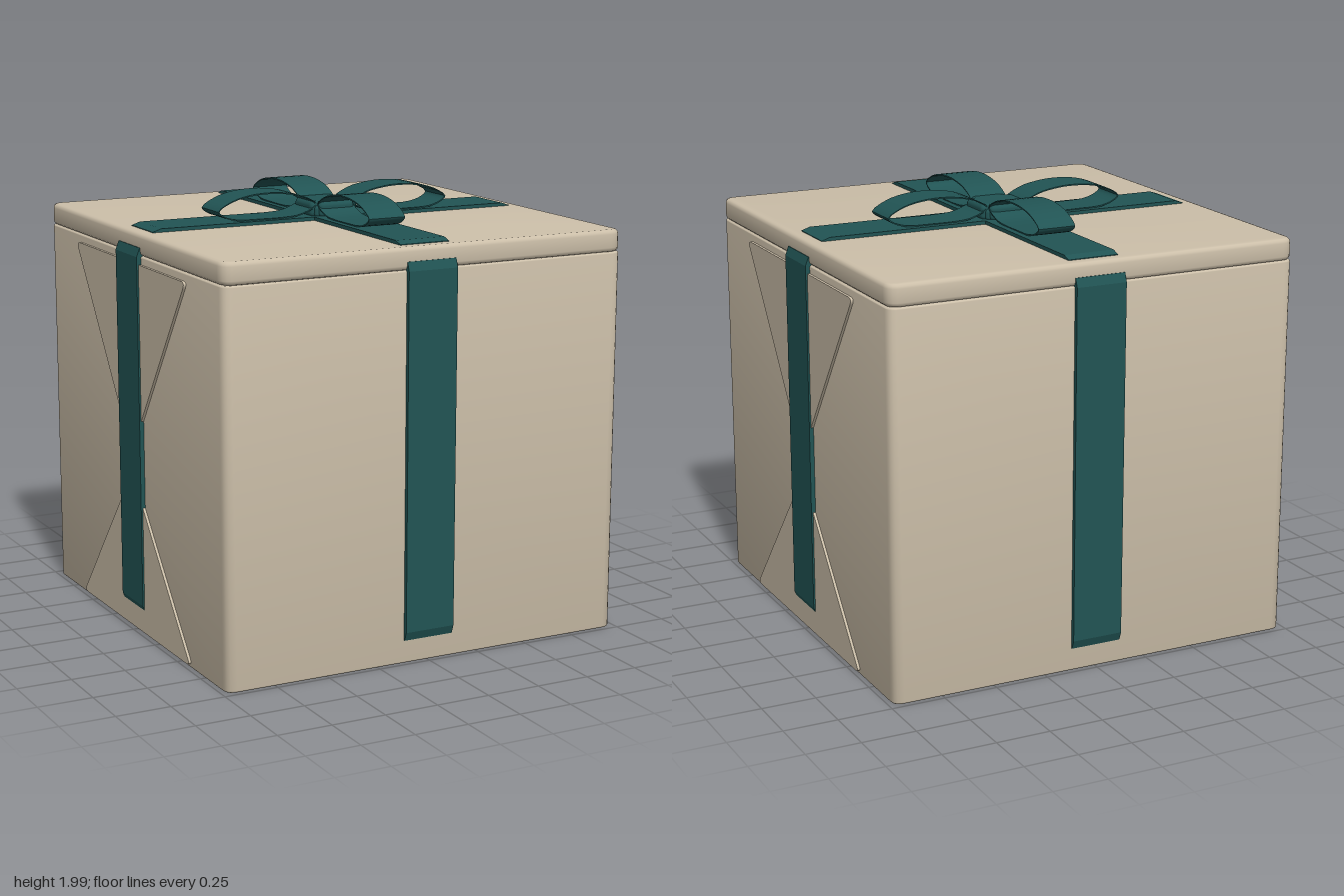
import * as THREE from 'three';
import { toCreasedNormals } from 'three/addons/utils/BufferGeometryUtils.js';
import { RoundedBoxGeometry } from 'three/addons/geometries/RoundedBoxGeometry.js';

const WALL = 0.98, LID_TOP = 1.857, SEAM = 1.757;

// Outline with rounded corners through a list of [x, y] points
function roundedShape(points, r) {
  const p = points.map(([x, y]) => new THREE.Vector2(x, y));
  const shape = new THREE.Shape();
  p.forEach((c, i) => {
    const prev = p[(i + p.length - 1) % p.length], next = p[(i + 1) % p.length];
    const a = prev.clone().sub(c).setLength(r).add(c);
    const b = next.clone().sub(c).setLength(r).add(c);
    if (i === 0) shape.moveTo(a.x, a.y); else shape.lineTo(a.x, a.y);
    shape.quadraticCurveTo(c.x, c.y, b.x, b.y);
  });
  shape.closePath();
  return shape;
}

// Square slab with rounded upright edges and bevelled rims
function slab(half, y0, y1, bevel) {
  const h = half - bevel;
  const geo = new THREE.ExtrudeGeometry(roundedShape([[-h, -h], [h, -h], [h, h], [-h, h]], 0.04), {
    depth: y1 - y0 - 2 * bevel, bevelEnabled: true, bevelSize: bevel,
    bevelThickness: bevel, bevelSegments: 3, curveSegments: 5,
  });
  geo.rotateX(-Math.PI / 2).translate(0, y0 + bevel, 0);
  return toCreasedNormals(geo, 0.7);
}

// Flat ribbon along x, lying on y = 0, with sloping ends
function ribbonStrip(length, thick, width) {
  const h = length / 2;
  const s = new THREE.Shape([[-h, -0.01], [h, -0.01], [h, 0.003], [h - 0.04, thick], [-h + 0.04, thick], [-h, 0.003]]
    .map(([x, y]) => new THREE.Vector2(x, y)));
  return new THREE.ExtrudeGeometry(s, { depth: width, bevelEnabled: false }).translate(0, 0, -width / 2);
}

// Hollow bow loop reaching out along +x
function bowLoop(width) {
  const pts = [[0.09, 1.925], [0.16, 1.968], [0.25, 1.988], [0.33, 1.994], [0.43, 1.988], [0.52, 1.965],
    [0.588, 1.922], [0.565, 1.898], [0.5, 1.876], [0.38, 1.872], [0.26, 1.872], [0.17, 1.882]];
  const outline = new THREE.CatmullRomCurve3(pts.map(([x, y]) => new THREE.Vector3(x, y, 0)), true).getPoints(36).slice(0, -1);
  const shape = new THREE.Shape(outline.map(v => new THREE.Vector2(v.x, v.y)));
  shape.holes.push(new THREE.Path(outline.map(v =>
    new THREE.Vector2(0.34 + (v.x - 0.34) * 0.975, 1.932 + (v.y - 1.932) * 0.9)).reverse()));
  const geo = new THREE.ExtrudeGeometry(shape, { depth: width, bevelEnabled: false });
  return toCreasedNormals(geo.translate(0, 0, -width / 2), 0.7);
}

export function createModel() {
  const root = new THREE.Group();
  root.name = 'giftBox';
  const card = new THREE.MeshStandardMaterial({ color: 0xccbfa9 });
  card.name = 'beige card';
  const teal = new THREE.MeshStandardMaterial({ color: 0x215454 });
  teal.name = 'dark teal ribbon';
  const add = (name, geo, mat, parent = root) => {
    const mesh = new THREE.Mesh(geo, mat);
    mesh.name = name;
    parent.add(mesh);
    return mesh;
  };

  // Box and lid
  add('boxBody', slab(WALL, 0, SEAM, 0.008), card);
  add('lid', slab(WALL + 0.002, SEAM, LID_TOP, 0.02), card);

  // Folded wrapping flaps on the left and right sides
  const flaps = {
    upperFlap: [[-0.62, 1.72], [0, 0.84], [0.62, 1.72]],
    lowerFlap: [[-0.62, 0.015], [0.62, 0.015], [0, 0.75]],
  };
  for (const [name, points] of Object.entries(flaps)) {
    const geo = new THREE.ExtrudeGeometry(roundedShape(points, 0.04), { depth: 0.022, bevelEnabled: false });
    geo.rotateY(Math.PI / 2).translate(WALL - 0.01, 0, 0);
    for (const side of [1, -1]) {
      add((side > 0 ? 'left' : 'right') + name, geo, card).rotation.y = side > 0 ? 0 : Math.PI;
    }
  }

  // Upright ribbons on all four sides
  const upright = ribbonStrip(1.69, 0.018, 0.24).rotateZ(-Math.PI / 2).translate(WALL + 0.002, 0.95, 0);
  // Bow loops, one per side
  const loop = bowLoop(0.18);
  const bow = new THREE.Group();
  bow.name = 'bow';
  root.add(bow);
  for (let i = 0; i < 4; i++) {
    add('sideRibbon', upright, teal).rotation.y = i * Math.PI / 2;
    add('bowLoop', loop, teal, bow).rotation.y = i * Math.PI / 2;
  }

  // Crossed ribbons on the lid, and the knot
  const across = ribbonStrip(1.84, 0.016, 0.24).translate(0, LID_TOP, 0);
  const knotArm = new RoundedBoxGeometry(0.24, 0.08, 0.18, 3, 0.025).translate(0, 1.901, 0);
  for (const turn of [0, Math.PI / 2]) {
    add('lidRibbon', across, teal).rotation.y = turn;
    add('knotArm', knotArm, teal, bow).rotation.y = turn;
  }
  add('knotCentre', new RoundedBoxGeometry(0.21, 0.06, 0.21, 2, 0.02).translate(0, 1.892, 0), teal, bow);
  return root;
}
